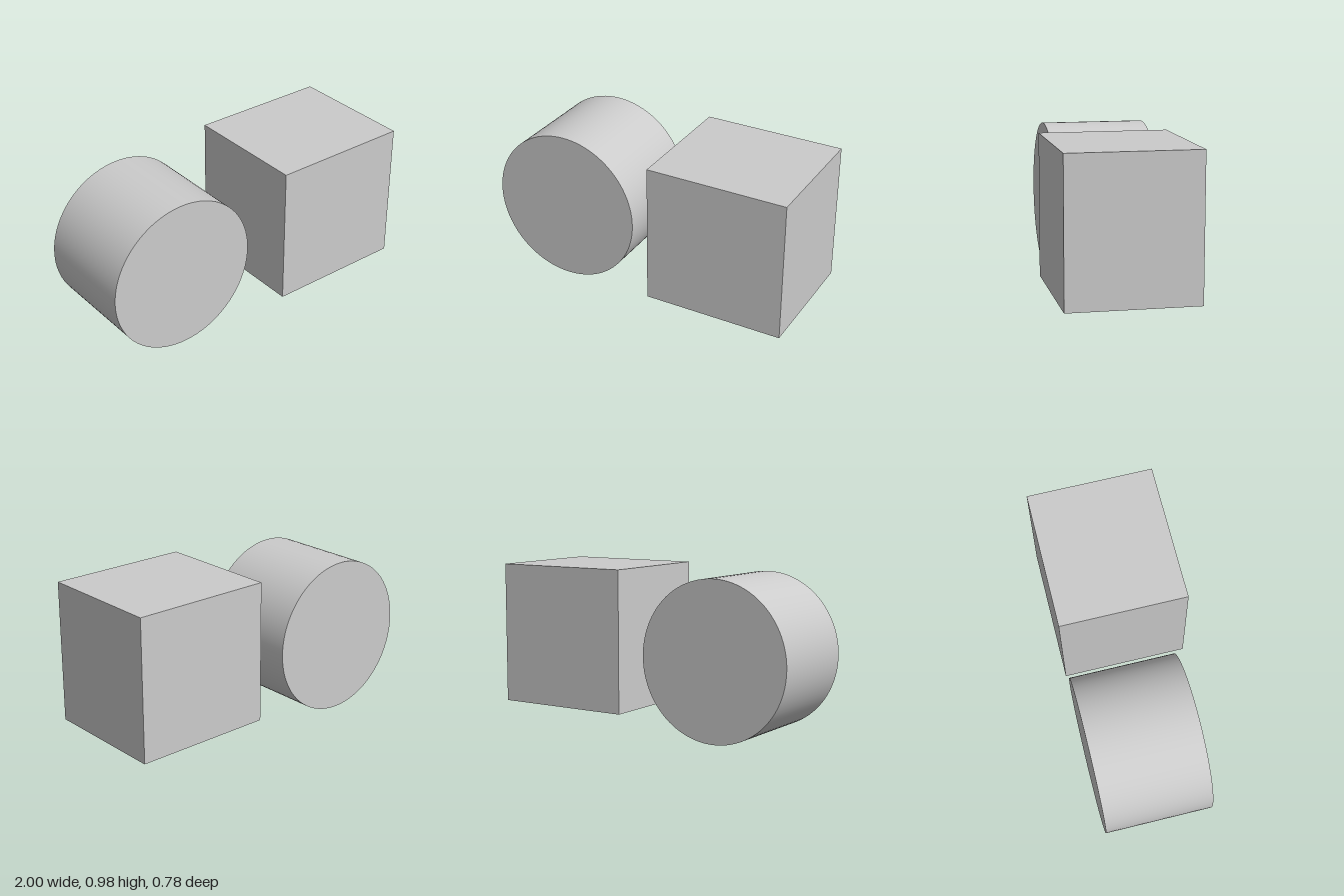
import * as THREE from 'three';

export function createModel() {
  const group = new THREE.Group();
  const material = new THREE.MeshStandardMaterial({ color: 0xcccccc });

  const add = (name, geometry, x, y, z) => {
    const mesh = new THREE.Mesh(geometry, material);
    mesh.name = name;
    mesh.position.set(x, y, z);
    group.add(mesh);
  };

  // Smooth drum lying along z, flush with the back of the block
  const radius = 0.477;
  const drum = new THREE.CylinderGeometry(radius, radius, 0.65, 96).rotateX(Math.PI / 2);
  add('cylinder', drum, radius - 1, radius, -0.065);

  // Block raised slightly above the lowest point of the drum
  add('block', new THREE.BoxGeometry(0.87, 0.87, 0.78), 0.565, 0.54, 0);

  return group;
}
